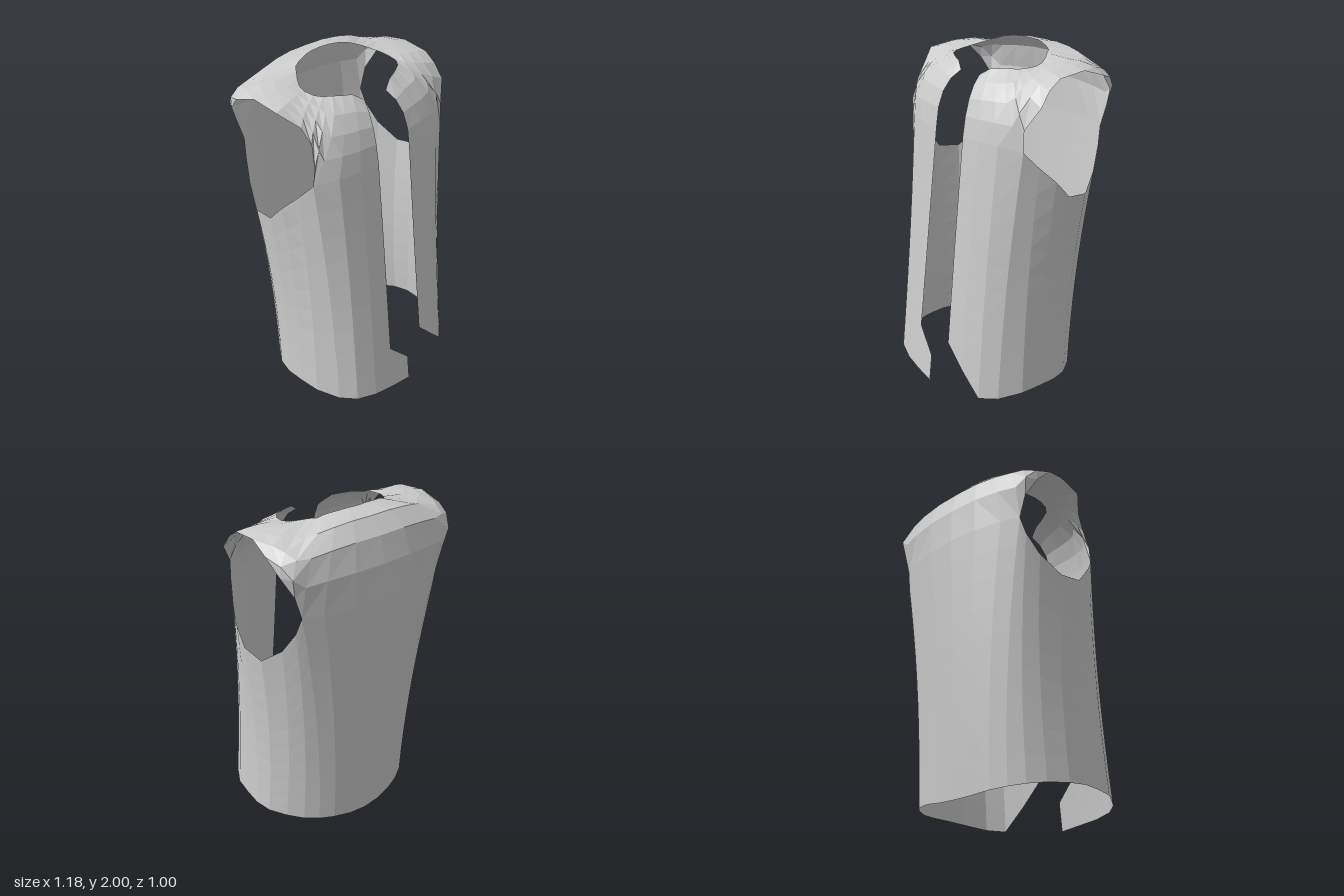
import * as THREE from 'three';

const material = new THREE.MeshStandardMaterial({
  color: 0xcccccc, flatShading: true, side: THREE.DoubleSide,
});

// Yoke columns from front edge to centre back: [base, point on the shoulder, neckline]
const yokeRight = [
  [[0.12, 1.55, 0.31], [0.115, 1.75, 0.26], [0.08, 1.86, 0.16]],
  [[0.25, 1.55, 0.305], [0.21, 1.76, 0.25], [0.14, 1.9, 0.13]],
  [[0.38, 1.55, 0.28], [0.3, 1.765, 0.235], [0.19, 1.905, 0.11]],
  [[0.5, 1.53, 0.21], [0.37, 1.77, 0.215], [0.24, 1.91, 0.085]],
  [[0.49, 1.63, 0.215], [0.4, 1.8, 0.18], [0.26, 1.91, 0.07]],
  [[0.475, 1.75, 0.18], [0.4, 1.845, 0.13], [0.28, 1.91, 0.06]],
  [[0.49, 1.83, 0.12], [0.41, 1.885, 0.07], [0.31, 1.915, 0.02]],
  [[0.56, 1.9, 0.02], [0.44, 1.92, -0.01], [0.32, 1.92, -0.04]],
  [[0.565, 1.92, -0.15], [0.44, 1.94, -0.13], [0.31, 1.93, -0.09]],
  [[0.58, 1.88, -0.28], [0.46, 1.94, -0.24], [0.28, 1.945, -0.14]],
  [[0.555, 1.79, -0.365], [0.5, 1.9, -0.34], [0.25, 1.96, -0.18]],
  [[0.5, 1.68, -0.41], [0.48, 1.875, -0.4], [0.22, 1.97, -0.22]],
  [[0.46, 1.55, -0.41], [0.41, 1.875, -0.425], [0.18, 1.985, -0.235]],
  [[0.35, 1.55, -0.45], [0.3, 1.89, -0.442], [0.12, 1.995, -0.255]],
  [[0.18, 1.55, -0.485], [0.16, 1.9, -0.455], [0.06, 2, -0.265]],
  [[0, 1.55, -0.495], [0, 1.9, -0.46], [0, 2, -0.27]],
];

// The left front shoulder flares further out at the armhole
const flare = { 4: [0.5, 1.65, 0.205], 5: [0.565, 1.77, 0.15], 6: [0.56, 1.85, 0.09] };
const yokeLeft = yokeRight.map(([base, ...rest], i) => [flare[i] ?? base, ...rest]);

// Lower edge of the armhole, front to back
const underarm = [
  [0.54, 1.44, 0.13], [0.58, 1.35, 0.04], [0.59, 1.25, -0.05],
  [0.575, 1.23, -0.19], [0.52, 1.33, -0.31], [0.48, 1.45, -0.38],
];

// Hem from side front to centre back, then the front corners of each panel
const hemRest = [
  [0.47, 0.05, 0.35], [0.535, 0.07, 0.22], [0.55, 0.075, 0.1], [0.555, 0.075, -0.02],
  [0.53, 0.07, -0.12], [0.465, 0.065, -0.22], [0.39, 0.055, -0.295], [0.31, 0.045, -0.345],
  [0.22, 0.035, -0.38], [0.11, 0.02, -0.402], [0, 0.015, -0.41],
];
const hemLeft = [[0.13, 0.31, 0.45], [0.25, 0.18, 0.445], [0.38, 0.04, 0.425], ...hemRest];
const hemRight = [[0.14, 0.015, 0.49], [0.27, 0.025, 0.47], [0.39, 0.04, 0.43], ...hemRest];

// Surface from equal-length columns of points; side -1 mirrors it across x
function patch(name, columns, side) {
  const rows = columns[0].length;
  const positions = columns.flat().flatMap(([x, y, z]) => [x * side, y, z]);
  const index = [];
  for (let i = 0; i < columns.length - 1; i++) {
    for (let j = 0; j < rows - 1; j++) {
      const a = i * rows + j, b = a + rows, c = b + 1, d = a + 1;
      if (side > 0) index.push(a, b, c, a, c, d);
      else index.push(a, c, b, a, d, c);
    }
  }
  const geometry = new THREE.BufferGeometry();
  geometry.setAttribute('position', new THREE.Float32BufferAttribute(positions, 3));
  geometry.setIndex(index);
  geometry.computeVertexNormals();
  const mesh = new THREE.Mesh(geometry, material);
  mesh.name = name;
  return mesh;
}

// Points along a column, with t running from 0 to 1
const sample = (n, f) => Array.from({ length: n + 1 }, (_, j) => f(j / n));

// Rise from hem to top, widening late and drawn in slightly at the waist
const bodyColumn = (hem, top) => sample(9, (t) => {
  const p = hem.map((h, k) => h + (top[k] - h) * t);
  p[0] = (hem[0] + (top[0] - hem[0]) * t ** 1.6) * (1 - 0.035 * Math.sin(Math.PI * t));
  return p;
});

// Parabola through base, shoulder point and neckline
const yokeColumn = ([base, mid, neck]) => sample(4, (t) => base.map((b, k) => {
  const control = 2 * mid[k] - (b + neck[k]) / 2;
  return (1 - t) ** 2 * b + 2 * t * (1 - t) * control + t * t * neck[k];
}));

export function createModel() {
  const vest = new THREE.Group();
  vest.name = 'vest';

  const bases = yokeRight.map((column) => column[0]);
  const bodyTop = [...bases.slice(0, 4), ...underarm, ...bases.slice(12)];

  for (const [label, side, hem, yoke] of [
    ['left', 1, hemLeft, yokeLeft], ['right', -1, hemRight, yokeRight],
  ]) {
    vest.add(patch(`${label}Body`, hem.map((h, i) => bodyColumn(h, bodyTop[i])), side));
    vest.add(patch(`${label}Yoke`, yoke.map(yokeColumn), side));
  }

  // Hem corner of the right panel reaching to the centre
  vest.add(patch('frontFlap', [
    [[0, 0, 0.5], [0, 0.17, 0.48]],
    [[0.14, 0.015, 0.49], [0.137, 0.31, 0.455]],
  ], -1));
  return vest;
}
